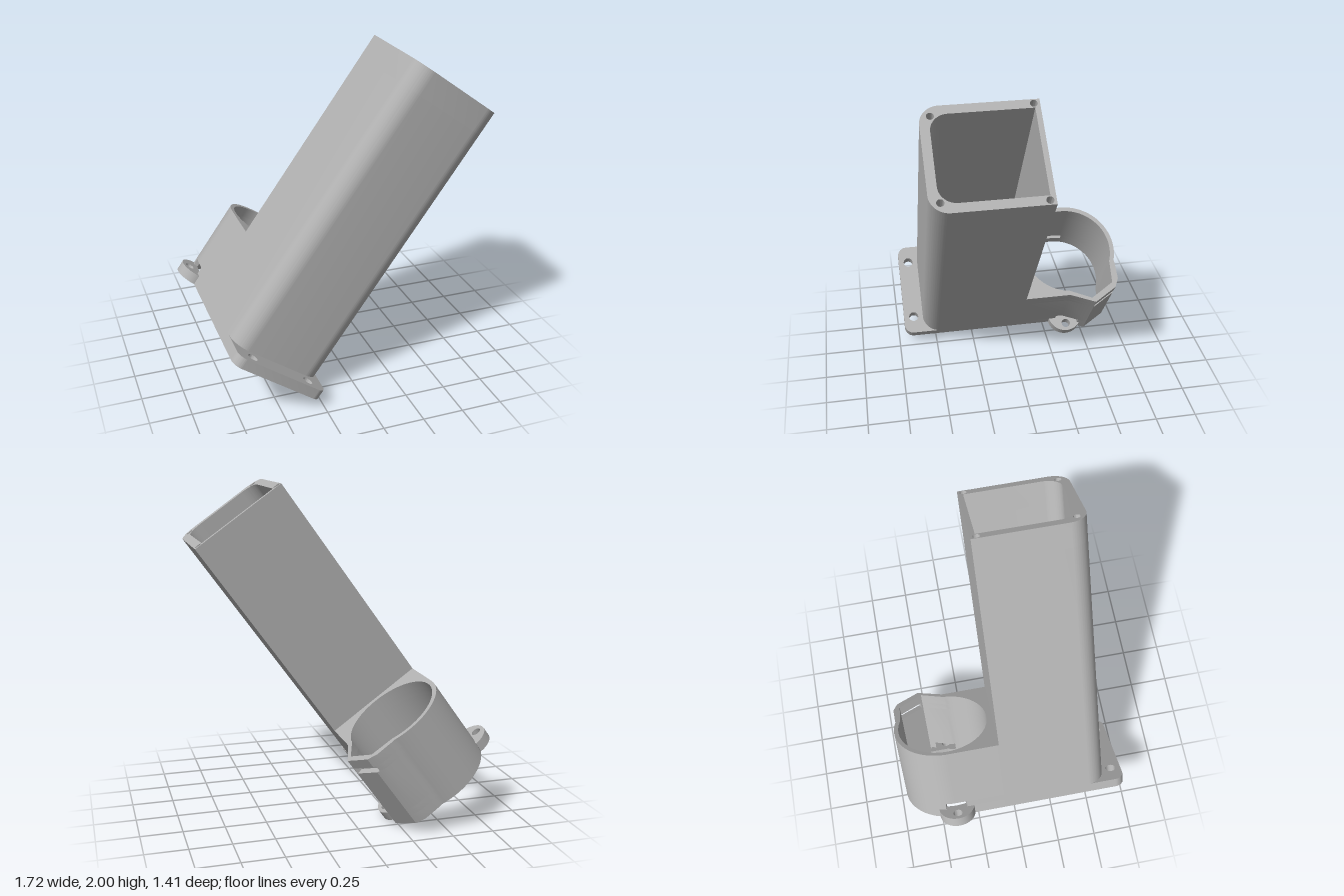
import * as THREE from 'three';
import { toCreasedNormals } from 'three/addons/utils/BufferGeometryUtils.js';

// Outlines are drawn in the duct's own frame: x across, p = -z towards the back.
const HALF = 0.3135;         // half width of duct and ring block
const LENGTH = 1.943;        // duct length
const RING = { p: 0.39, outer: HALF, inner: 0.286, height: 0.517 };
const PLATE = 0.063;         // flange and tab thickness

const grey = new THREE.MeshStandardMaterial({ color: 0xb0b0b0 });
grey.name = 'grey plastic';

// Extrude an outline upwards from y0 to y1
function slab(name, shape, y0, y1) {
  const geo = new THREE.ExtrudeGeometry(shape, { depth: y1 - y0, bevelEnabled: false, curveSegments: 16 });
  geo.rotateX(-Math.PI / 2);
  geo.translate(0, y0, 0);
  const mesh = new THREE.Mesh(toCreasedNormals(geo, 0.5), grey);
  mesh.name = name;
  return mesh;
}

function roundHole(x, p, r) {
  return new THREE.Path().absarc(x, p, r, 0, Math.PI * 2, true);
}

// Rectangle with square back corners and rounded front corners
function ductOutline(path, half, back, front, r) {
  path.moveTo(half, back);
  path.lineTo(-half, back);
  path.lineTo(-half, front + r);
  path.absarc(-half + r, front + r, r, Math.PI, Math.PI * 1.5, false);
  path.lineTo(half - r, front);
  path.absarc(half - r, front + r, r, -Math.PI / 2, 0, false);
  path.lineTo(half, back);
  return path;
}

function ductShape(front, radius) {
  const shape = ductOutline(new THREE.Shape(), HALF, 0.07, front, radius);
  shape.holes.push(ductOutline(new THREE.Path(), 0.26, 0.04, -0.53, 0.1));
  return shape;
}

function arcPoints(r, a0, a1, n = 40) {
  return Array.from({ length: n + 1 }, (_, i) => {
    const a = a0 + (a1 - a0) * i / n;
    return new THREE.Vector2(r * Math.cos(a), RING.p + r * Math.sin(a));
  });
}

const toPoints = list => list.map(([x, p]) => new THREE.Vector2(x, p));

// Ring outlines: round wall with a faceted bulge at one back corner
const outerRing = [
  ...toPoints([[-HALF, 0.07], [HALF, 0.07], [HALF, 0.36], [0.378, 0.52], [0.29, 0.665], [0.23, 0.693], [0.12, 0.69]]),
  ...arcPoints(RING.outer, 1.25, Math.PI),
];
const innerRing = [
  ...toPoints([[0.28, 0.35], [0.347, 0.5], [0.253, 0.65]]),
  ...arcPoints(RING.inner, 1.2, Math.PI * 2 - 0.2, 72),
];

// Point of a closed outline in direction a, seen from the ring centre
function pointAt(outline, a) {
  const dx = Math.cos(a), dp = Math.sin(a);
  let best = 0;
  outline.forEach((A, i) => {
    const B = outline[(i + 1) % outline.length];
    const ex = B.x - A.x, ep = B.y - A.y;
    const ax = A.x, ap = A.y - RING.p;
    const det = dx * ep - dp * ex;
    if (Math.abs(det) < 1e-9) return;
    const t = (ax * ep - ap * ex) / det;
    const s = (ax * dp - ap * dx) / det;
    if (s >= -1e-6 && s <= 1 + 1e-6) best = Math.max(best, t);
  });
  return new THREE.Vector2(best * dx, RING.p + best * dp);
}

// Part of the ring wall between two directions
function sectorShape(a0, a1) {
  const turn = Math.PI * 2;
  const side = outline => {
    const corners = outline
      .map(v => Math.atan2(v.y - RING.p, v.x))
      .map(a => a + turn * Math.ceil((a0 - a) / turn))
      .filter(a => a > a0 + 1e-3 && a < a1 - 1e-3)
      .sort((a, b) => a - b);
    return [a0, ...corners, a1].map(a => pointAt(outline, a));
  };
  return new THREE.Shape([...side(outerRing), ...side(innerRing).reverse()]);
}

function fullRing() {
  const shape = new THREE.Shape(outerRing);
  shape.holes.push(new THREE.Path(innerRing));
  return shape;
}

export function createModel() {
  const model = new THREE.Group();
  model.name = 'tilted duct with ring mount';
  const duct = new THREE.Group();
  duct.name = 'ductAssembly';
  duct.rotation.z = -0.6213;
  duct.position.set(-0.535, 0.2375, 0);
  model.add(duct);

  // Foot flange with two screw holes
  const flange = ductShape(-0.71, 0.06);
  for (const x of [-0.2, 0.2]) flange.holes.push(roundHole(x, -0.645, 0.031));
  duct.add(slab('flange', flange, 0, PLATE));

  // Hollow duct, with screw holes in the upper rim
  duct.add(slab('ductBody', ductShape(-0.583, 0.11), PLATE, LENGTH - 0.15));
  const rim = ductShape(-0.583, 0.11);
  for (const s of [-1, 1]) {
    rim.holes.push(roundHole(s * 0.287, 0.036, 0.021 - 0.0), roundHole(s * 0.252, -0.522, 0.021));
  }
  // The back holes sit beside the opening, in the side walls
  duct.add(slab('ductRim', rim, LENGTH - 0.15, LENGTH));

  // Ring, in layers: screw notches low down, slot in the bulge near the top
  const ring = new THREE.Group();
  ring.name = 'ringMount';
  const notch = 0.215;
  ring.add(
    slab('ringBase', fullRing(), 0, PLATE),
    slab('ringBackWall', sectorShape(notch, Math.PI - notch), PLATE, 0.108),
    slab('ringFrontWall', sectorShape(Math.PI + notch, Math.PI * 2 - notch), PLATE, 0.108),
    slab('ringWall', fullRing(), 0.108, 0.415),
    slab('ringSlotWall', sectorShape(0.8, Math.PI * 2 + 0.34), 0.415, 0.455),
    slab('ringTop', fullRing(), 0.455, RING.height),
  );

  // Half-round screw tabs on both sides of the ring
  for (const s of [-1, 1]) {
    const tab = new THREE.Shape();
    const start = s > 0 ? -Math.PI / 2 : Math.PI / 2;
    tab.absarc(s * 0.295, RING.p, 0.113, start, start + Math.PI, false);
    tab.closePath();
    tab.holes.push(roundHole(s * 0.357, RING.p, 0.029));
    ring.add(slab(s > 0 ? 'leftTab' : 'rightTab', tab, 0, PLATE));
  }
  duct.add(ring);

  return model;
}
